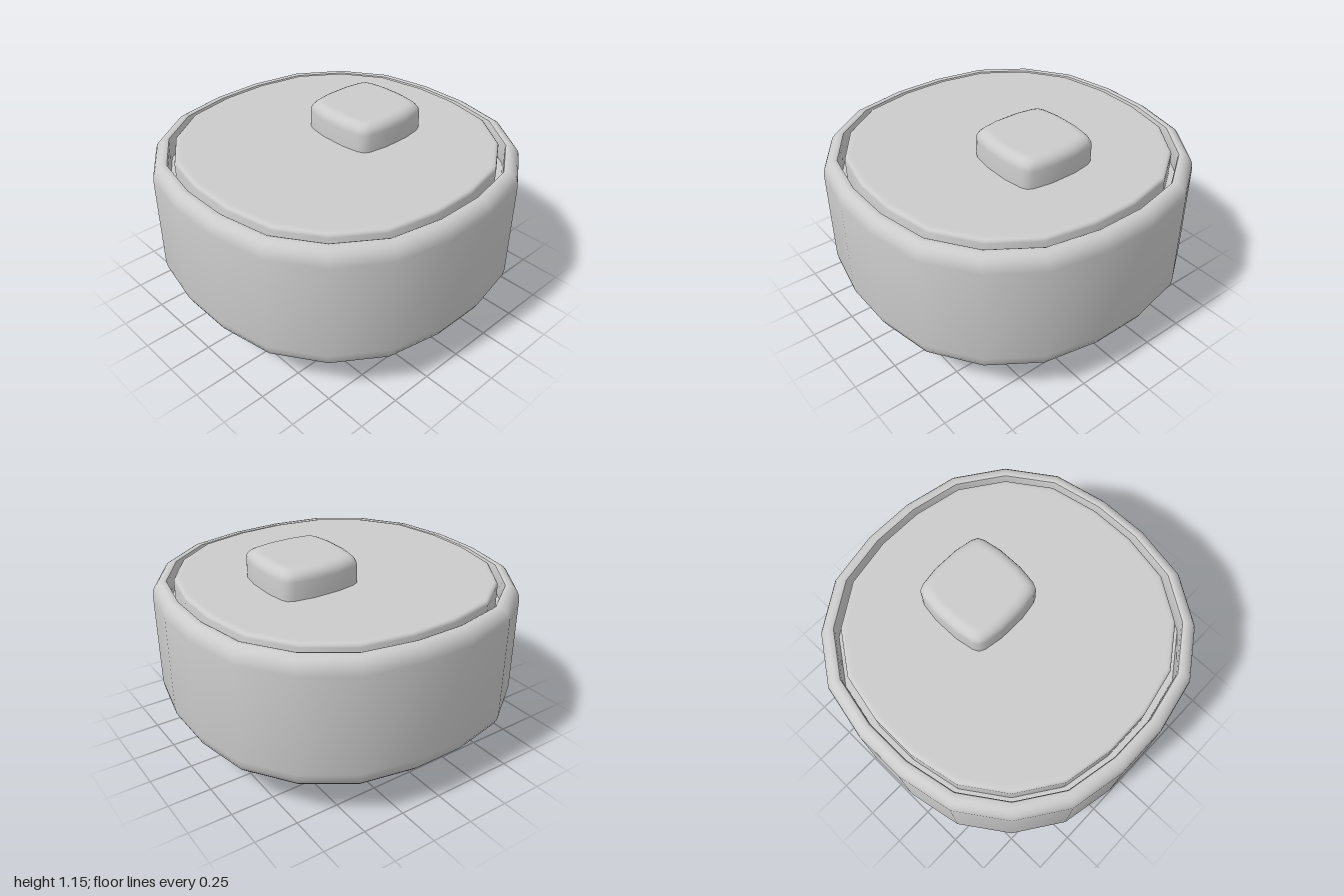
import * as THREE from 'three';
import { toCreasedNormals } from 'three/addons/utils/BufferGeometryUtils.js';
import { RoundedBoxGeometry } from 'three/addons/geometries/RoundedBoxGeometry.js';

const material = new THREE.MeshStandardMaterial({ color: 0xcccccc });

// Mirrors one quarter of a plan outline (from the +x side to the +z side) into a closed loop.
function fullOutline(quarter) {
  const flip = (pts, sx, sz) => pts.map(([x, z]) => [x * sx, z * sz]);
  const back = [...quarter].reverse();
  return [...quarter, ...flip(back, -1, 1), ...flip(quarter, -1, -1), ...flip(back, 1, -1)];
}

// Sweeps the outline along a [scale, y] profile; scale 0 closes an end.
function loft(outline, profile, crease) {
  const n = outline.length;
  const position = [];
  const index = [];
  for (const [s, y] of profile) for (const [x, z] of outline) position.push(x * s, y, z * s);
  for (let i = 0; i < profile.length - 1; i++) {
    for (let j = 0; j < n; j++) {
      const a = i * n + j, b = i * n + (j + 1) % n, c = a + n, d = b + n;
      if (profile[i + 1][0] > 0) index.push(b, c, d);
      if (profile[i][0] > 0) index.push(a, c, b);
    }
  }
  // An end ring at scale 0 only needs one triangle per side.
  const last = profile.length - 1;
  if (profile[last][0] === 0) {
    index.length -= 3 * n;
    for (let j = 0; j < n; j++) index.push((last - 1) * n + j, last * n + j, (last - 1) * n + (j + 1) % n);
  }
  const geometry = new THREE.BufferGeometry();
  geometry.setAttribute('position', new THREE.Float32BufferAttribute(position, 3));
  geometry.setIndex(index);
  return toCreasedNormals(geometry, crease);
}

// Quarter-round profile points about (cs, cy), angles in degrees.
function arc(cs, cy, rs, ry, from, to, steps = 5) {
  return Array.from({ length: steps + 1 }, (_, i) => {
    const t = THREE.MathUtils.degToRad(from + (to - from) * i / steps);
    return [cs + rs * Math.cos(t), cy + ry * Math.sin(t)];
  });
}

export function createModel() {
  const group = new THREE.Group();
  const add = (name, geometry, x = 0, y = 0, z = 0) => {
    const mesh = new THREE.Mesh(geometry, material);
    mesh.name = name;
    mesh.position.set(x, y, z);
    group.add(mesh);
  };

  const round = fullOutline([[1, 0.155], [0.935, 0.48], [0.75, 0.75], [0.48, 0.935], [0.155, 1]]);

  // Drum body with rounded edges and a recess for the lid
  add('body', loft(round, [
    [0, 0.19], [0.86, 0.19],
    ...arc(0.88, 0.31, 0.12, 0.12, -90, 0),
    ...arc(0.93, 0.88, 0.07, 0.09, 0, 90),
    [0.92, 0.965], [0.915, 0.95], [0.915, 0.84], [0, 0.84],
  ], 0.7));

  // Lid set into the rim, leaving a narrow groove
  add('lid', loft(round, [
    [0.88, 0.84], ...arc(0.86, 0.965, 0.02, 0.02, 0, 90, 3), [0.84, 0.985], [0, 0.985],
  ], 0.7));

  // Soft square knob towards the back of the lid
  const softSquare = fullOutline([[0.26, 0.08], [0.242, 0.19], [0.225, 0.225], [0.19, 0.242], [0.08, 0.26]]);
  add('knob', loft(softSquare, [
    [1, 0.97], ...arc(0.77, 1.09, 0.23, 0.06, 0, 90), [0.72, 1.15], [0, 1.15],
  ], 0.9), 0, 0, -0.23);

  // Four block feet
  for (const x of [-0.29, 0.29]) {
    for (const z of [-0.29, 0.29]) {
      add('foot', new RoundedBoxGeometry(0.28, 0.24, 0.28, 3, 0.03), x, 0.12, z);
    }
  }
  return group;
}
